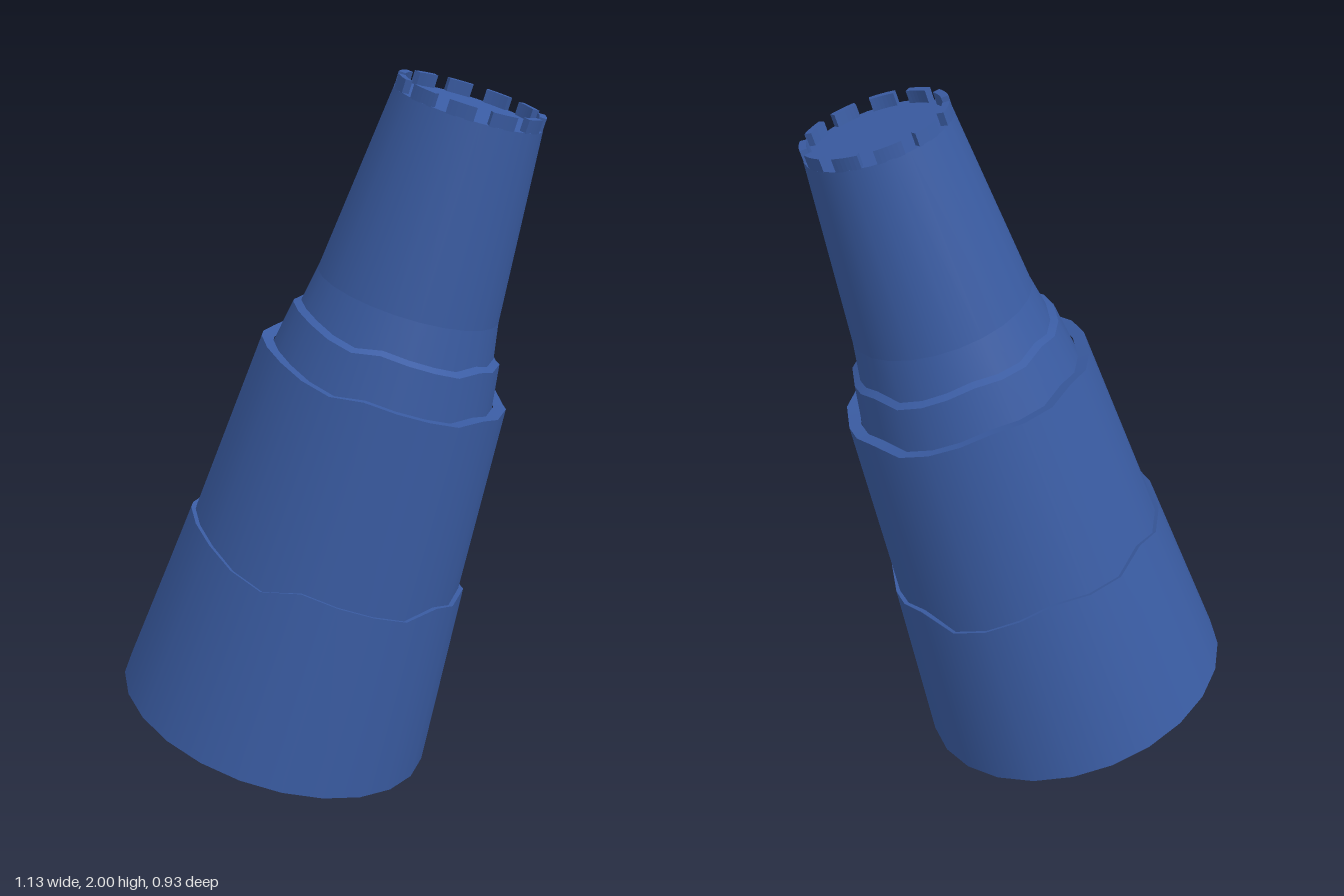
import * as THREE from 'three';

const SEG = 24;
// Ragged cuff edge: height offset every 15 degrees, starting at the front
const RAGGED = [-0.02, -0.03, 0, -0.02, -0.005, -0.04, -0.02, 0, -0.05, -0.04, -0.02, 0,
  -0.02, -0.03, 0, -0.035, -0.03, 0, 0, -0.01, -0.03, -0.04, 0, -0.01];

export function createModel() {
  const cloth = new THREE.MeshStandardMaterial({ color: 0x3a5ca3 });
  cloth.name = 'blue cloth';
  const model = new THREE.Group();
  model.name = 'taperedSleeve';

  // Conical strip between two [radius, height, raggedness] rings; ascending faces outward
  function strip(parent, name, a, b) {
    const geo = new THREE.LatheGeometry([a, b].map(p => new THREE.Vector2(p[0], p[1])), SEG);
    const pos = geo.attributes.position;
    for (let i = 0; i <= SEG; i++) {
      [a, b].forEach((p, j) => {
        const k = i * 2 + j;
        pos.setY(k, pos.getY(k) + RAGGED[i % SEG] * (p[2] || 0));
      });
    }
    const mesh = new THREE.Mesh(geo, cloth);
    mesh.name = name;
    parent.add(mesh);
  }

  // A chain of strips with a crisp edge at each ring
  function layer(name, rings) {
    const group = new THREE.Group();
    group.name = name;
    for (let i = 0; i < rings.length - 1; i++) strip(group, name + 'Strip', rings[i], rings[i + 1]);
    model.add(group);
  }

  // Overlapping layers, each ending in a ragged ledge
  layer('lowerSleeve', [[0.46, 0], [0.408, 0.565, 1], [0.388, 0.56, 1]]);
  layer('middleSleeve', [[0.4, 0.48], [0.353, 1.11, 0.5], [0.318, 1.105, 0.5]]);
  layer('upperFold', [[0.326, 1.03], [0.296, 1.225, 0.5], [0.276, 1.235, 0.5], [0.257, 1.33]]);
  layer('upperSleeve', [[0.257, 1.33], [0.204, 1.855]]);
  layer('endCap', [[0.204, 1.855], [0, 1.855]]);

  // Hollow inside, with a hem at the open end
  layer('lining', [[0, 1.84], [0.185, 1.84], [0.405, 0.05], [0.425, 0.05], [0.435, 0], [0.46, 0]]
    .map((p, i, all) => p));
  model.getObjectByName('lining').clear();
  const lining = model.getObjectByName('lining');
  strip(lining, 'liningCeiling', [0, 1.84], [0.185, 1.84]);
  strip(lining, 'liningWall', [0.185, 1.84], [0.405, 0.05]);
  strip(lining, 'hemLedge', [0.405, 0.05], [0.425, 0.05]);
  strip(lining, 'hemWall', [0.425, 0.05], [0.435, 0]);
  strip(lining, 'hemRim', [0.435, 0], [0.46, 0]);

  // Notched rim around the narrow end
  const teeth = 11, step = Math.PI * 2 / teeth, arc = step * 0.64;
  const shape = new THREE.Shape();
  shape.absarc(0, 0, 0.203, 0, arc, false);
  shape.absarc(0, 0, 0.183, arc, 0, true);
  const toothGeo = new THREE.ExtrudeGeometry(shape, { depth: 0.037, bevelEnabled: false, curveSegments: 3 });
  toothGeo.rotateX(-Math.PI / 2);
  for (let i = 0; i < teeth; i++) {
    const tooth = new THREE.Mesh(toothGeo, cloth);
    tooth.name = 'rimTooth';
    tooth.position.y = 1.853;
    tooth.rotation.y = i * step;
    model.add(tooth);
  }

  // Lean the whole sleeve toward its left and front
  const axis = new THREE.Vector3(0.487, 1.814, 0.212).normalize();
  model.quaternion.setFromUnitVectors(new THREE.Vector3(0, 1, 0), axis);
  model.position.set(-0.122, 0.13, -0.007);
  const root = new THREE.Group();
  root.name = 'sleeve';
  root.add(model);
  return root;
}
